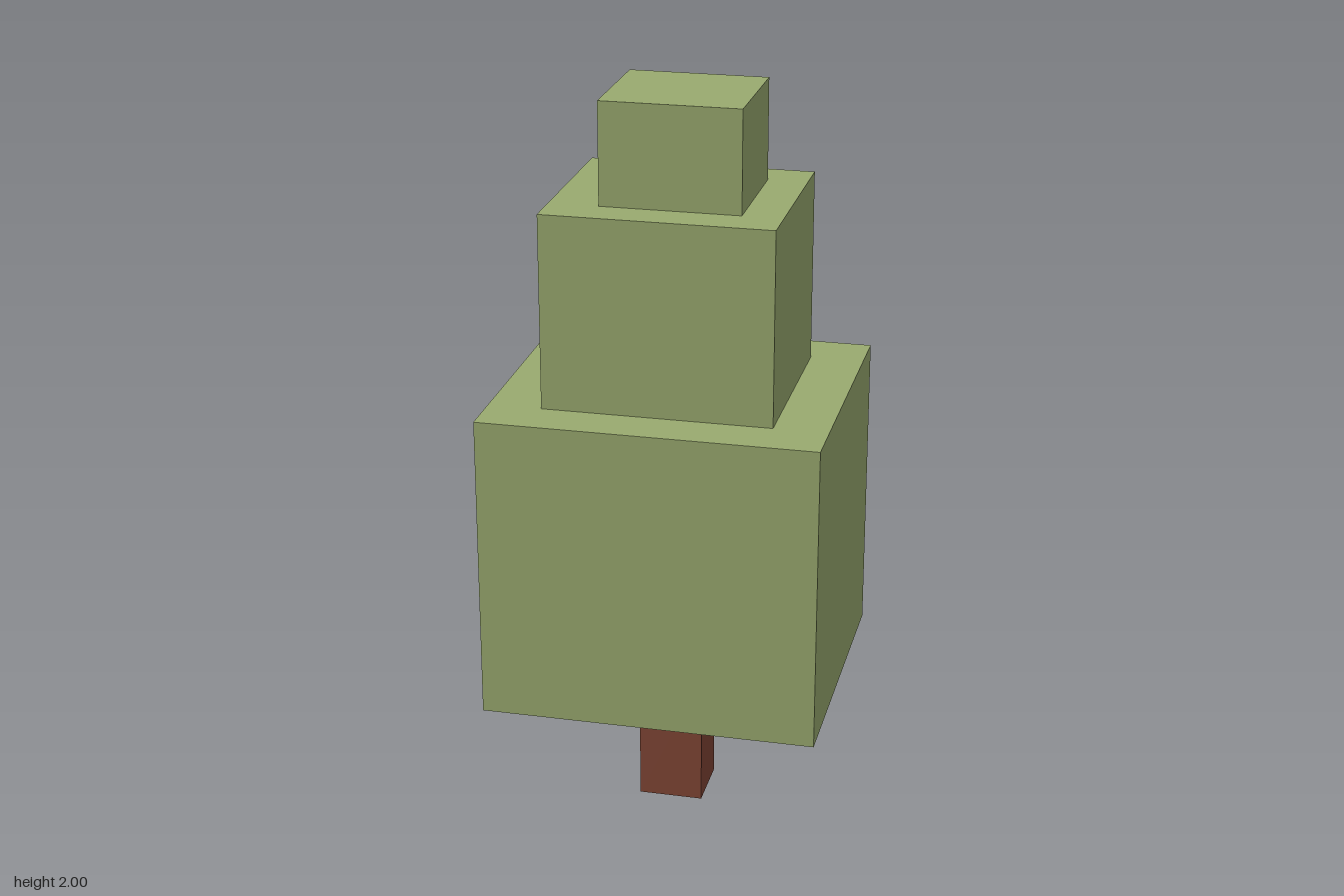
import * as THREE from 'three';

export function createModel() {
  const tree = new THREE.Group();
  tree.name = 'blockTree';

  const leafGreen = new THREE.MeshStandardMaterial({ name: 'leafGreen', color: 0x99aa6f });
  const barkBrown = new THREE.MeshStandardMaterial({ name: 'barkBrown', color: 0x804535 });

  // Box given by its [min, max] extent along each axis
  function addBlock(name, material, [x0, x1], [y0, y1], [z0, z1]) {
    const block = new THREE.Mesh(new THREE.BoxGeometry(x1 - x0, y1 - y0, z1 - z0), material);
    block.name = name;
    block.position.set((x0 + x1) / 2, (y0 + y1) / 2, (z0 + z1) / 2);
    tree.add(block);
  }

  // Trunk, set slightly forward
  addBlock('trunk', barkBrown, [-0.09, 0.085], [0, 0.37], [-0.065, 0.105]);

  // Stacked foliage, from the bottom up
  addBlock('lowerFoliage', leafGreen, [-0.45, 0.45], [0.37, 1.202], [-0.4, 0.4]);
  addBlock('middleFoliage', leafGreen, [-0.307, 0.305], [1.202, 1.726], [-0.27, 0.27]);
  addBlock('topFoliage', leafGreen, [-0.174, 0.198], [1.726, 2], [-0.168, 0.167]);

  return tree;
}
